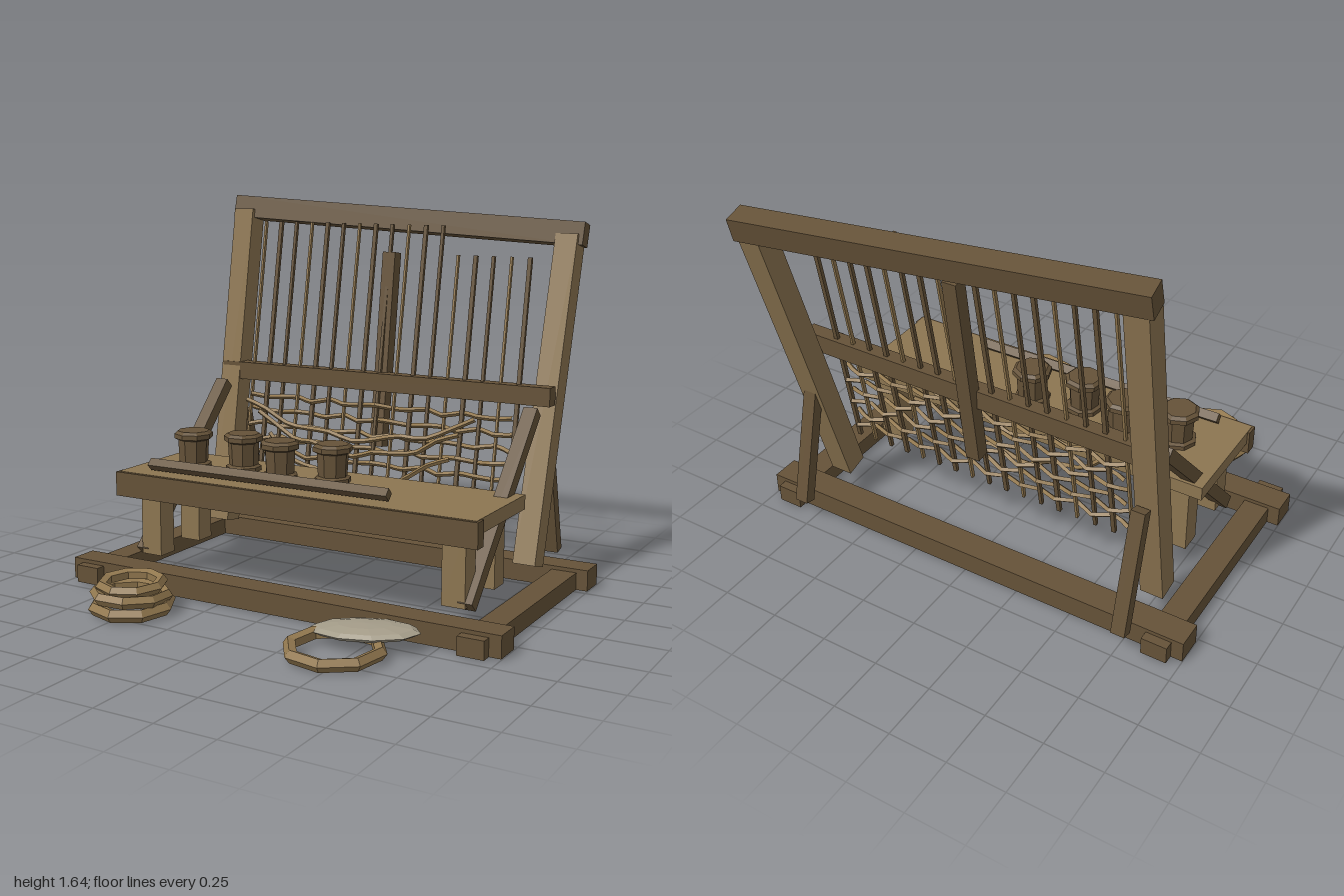
import * as THREE from 'three';

const mat = (name, color, extra = {}) => {
  const m = new THREE.MeshStandardMaterial({ color, flatShading: true, ...extra });
  m.name = name;
  return m;
};

export function createModel() {
  const model = new THREE.Group();
  model.name = 'loomWithBench';
  const light = mat('light wood', 0x8c7551);
  const dark = mat('dark wood', 0x655238);
  const fibre = mat('tan fibre', 0x92784f);
  const cloth = mat('grey cloth', 0xa39b88, { side: THREE.DoubleSide });
  const V = (x, y, z) => new THREE.Vector3(x, y, z);

  const add = (name, geometry, material, pos = [0, 0, 0], rot = [0, 0, 0]) => {
    const m = new THREE.Mesh(geometry, material);
    m.name = name;
    m.position.set(...pos);
    m.rotation.set(...rot);
    model.add(m);
    return m;
  };
  const box = (name, w, h, d, material, pos, rot) =>
    add(name, new THREE.BoxGeometry(w, h, d), material, pos, rot);

  // Straight timber from a to b; w is measured along the side vector, d across it
  const timber = (name, a, b, w, d, material, side = V(1, 0, 0)) => {
    const y = b.clone().sub(a);
    const len = y.length();
    y.normalize();
    const x = side.clone().addScaledVector(y, -side.dot(y)).normalize();
    const m = box(name, w, len, d, material);
    m.quaternion.setFromRotationMatrix(
      new THREE.Matrix4().makeBasis(x, y, x.clone().cross(y)));
    m.position.copy(a).add(b).multiplyScalar(0.5);
    return m;
  };

  // Ground frame
  box('frontBaseBeam', 2, 0.09, 0.12, dark, [0, 0.053, 0.347]);
  box('backBaseBeam', 2, 0.09, 0.12, dark, [0, 0.053, -0.58]);
  for (const s of [-1, 1]) {
    box('sideBaseBeam', 0.11, 0.075, 1.13, dark, [s * 0.895, 0.0445, -0.115]);
  }

  // Leaning uprights, skewed top beam and middle beam
  timber('rightUpright', V(-0.775, 0.115, -0.42), V(-0.775, 1.57, -0.665), 0.1, 0.1, light);
  timber('leftUpright', V(0.77, 0.115, -0.42), V(0.77, 1.48, -0.82), 0.1, 0.1, light);
  timber('topBeam', V(-0.835, 1.583, -0.672), V(0.835, 1.485, -0.836), 0.1, 0.095, dark, V(0, 1, -0.2));
  box('middleBeam', 1.64, 0.08, 0.065, dark, [0, 0.825, -0.525]);

  // Diagonal braces and rear props
  for (const s of [-1, 1]) {
    timber('diagonalBrace', V(s * 0.77, 0.11, 0.205), V(s * 0.77, 0.775, -0.425), 0.06, 0.055, dark);
    timber('rearProp', V(s * 0.77, 0.11, -0.72), V(s * 0.77, 0.62, -0.59), 0.06, 0.05, dark);
  }

  // Bench
  box('benchTop', 1.68, 0.06, 0.48, light, [0, 0.447, 0.045]);
  box('benchApron', 1.7, 0.105, 0.055, dark, [0, 0.422, 0.268]);
  for (const s of [-1, 1]) {
    for (const z of [0.175, -0.11]) {
      box('benchLeg', 0.1, 0.31, 0.095, light, [s * 0.72, 0.26, z]);
    }
  }

  // Faceted lidded pots
  const potProfile = [[0, 0], [0.078, 0], [0.078, 0.018], [0.063, 0.025], [0.068, 0.122],
    [0.085, 0.13], [0.085, 0.15], [0.07, 0.162], [0, 0.162]].map(p => new THREE.Vector2(...p));
  const pots = [[-0.615, 0.045], [-0.39, -0.01], [-0.17, 0.045], [0.055, -0.01]];
  pots.forEach(([x, z], i) => {
    add('pot', new THREE.LatheGeometry(potProfile, 8), dark, [x, 0.477, z], [0, i * 0.5, 0]);
  });

  // Beater rod lying on the bench
  timber('benchRod', V(-0.715, 0.51, 0.222), V(0.43, 0.51, 0.205), 0.038, 0.038, dark, V(0, 1, 1));

  // Warp strands and centre post share the same lean
  const leanZ = y => -0.45 - 0.175 * (y - 0.4);
  const step = 1.334 / 16;
  for (let i = 0; i < 17; i++) {
    const x = -0.667 + i * step;
    const top = i < 12 ? 1.52 : 1.395;
    const w = 0.01 + 0.004 * ((i * 5) % 3);
    timber('warpStrand', V(x, 0.325, leanZ(0.325)), V(x, top, leanZ(top)), w, 0.016, i % 3 ? dark : fibre);
  }
  timber('centrePost', V(0, 0.53, -0.525), V(0, 1.395, -0.64), 0.062, 0.06, dark);

  // Weft rows, passing over and under the strands
  for (let r = 0; r < 6; r++) {
    const pts = [];
    for (let i = 0; i < 17; i++) {
      const y = 0.395 + r * 0.064 + 0.008 * Math.sin(i * 2.3 + r * 1.7);
      pts.push(V(-0.66 + i * 1.32 / 16, y, leanZ(y) + ((i + r) % 2 ? 0.018 : -0.014)));
    }
    const path = new THREE.CatmullRomCurve3(pts);
    add('weftRow', new THREE.TubeGeometry(path, 32, 0.011, 4), fibre);
  }

  // Loose yarns sagging between bench and loom
  [[0.72, 0.12, 0.57], [0.66, 0.13, 0.5], [0.56, 0.16, 0.45]].forEach(([y, sag, half], r) => {
    const pts = [];
    for (let i = 0; i <= 10; i++) {
      const t = i / 5 - 1;
      pts.push(V(t * half - 0.02, y - sag * (1 - t * t) + 0.015 * Math.sin(i * 2.1 + r),
        -0.345 + 0.03 * (1 - t * t) + 0.008 * Math.sin(i * 1.9 + r * 2)));
    }
    add('hangingYarn', new THREE.TubeGeometry(new THREE.CatmullRomCurve3(pts), 20, 0.011, 4), fibre);
  });

  // Rope coils on the ground
  const ring = (name, x, y, z, radius, tube, turn, tilt) => {
    const g = new THREE.TorusGeometry(radius, tube, 5, 8);
    g.rotateX(Math.PI / 2).rotateY(turn).rotateX(tilt);
    add(name, g, fibre, [x, y, z]);
  };
  ring('ropeCoil', -0.505, 0.036, 0.64, 0.152, 0.028, 0.1, 0.03);
  ring('ropeCoil', -0.505, 0.08, 0.645, 0.145, 0.026, 0.45, -0.05);
  ring('ropeCoil', -0.505, 0.122, 0.64, 0.122, 0.025, 0.8, 0.03);
  ring('looseRing', 0.46, 0.04, 0.685, 0.175, 0.027, 0.2, 0.02);

  // Crumpled cloth resting on the ring
  const clothGeo = new THREE.SphereGeometry(1, 10, 6);
  clothGeo.scale(0.22, 0.028, 0.12);
  add('clothBundle', clothGeo, cloth, [0.5, 0.068, 0.525], [0, 0.15, 0.06]);

  return model;
}
